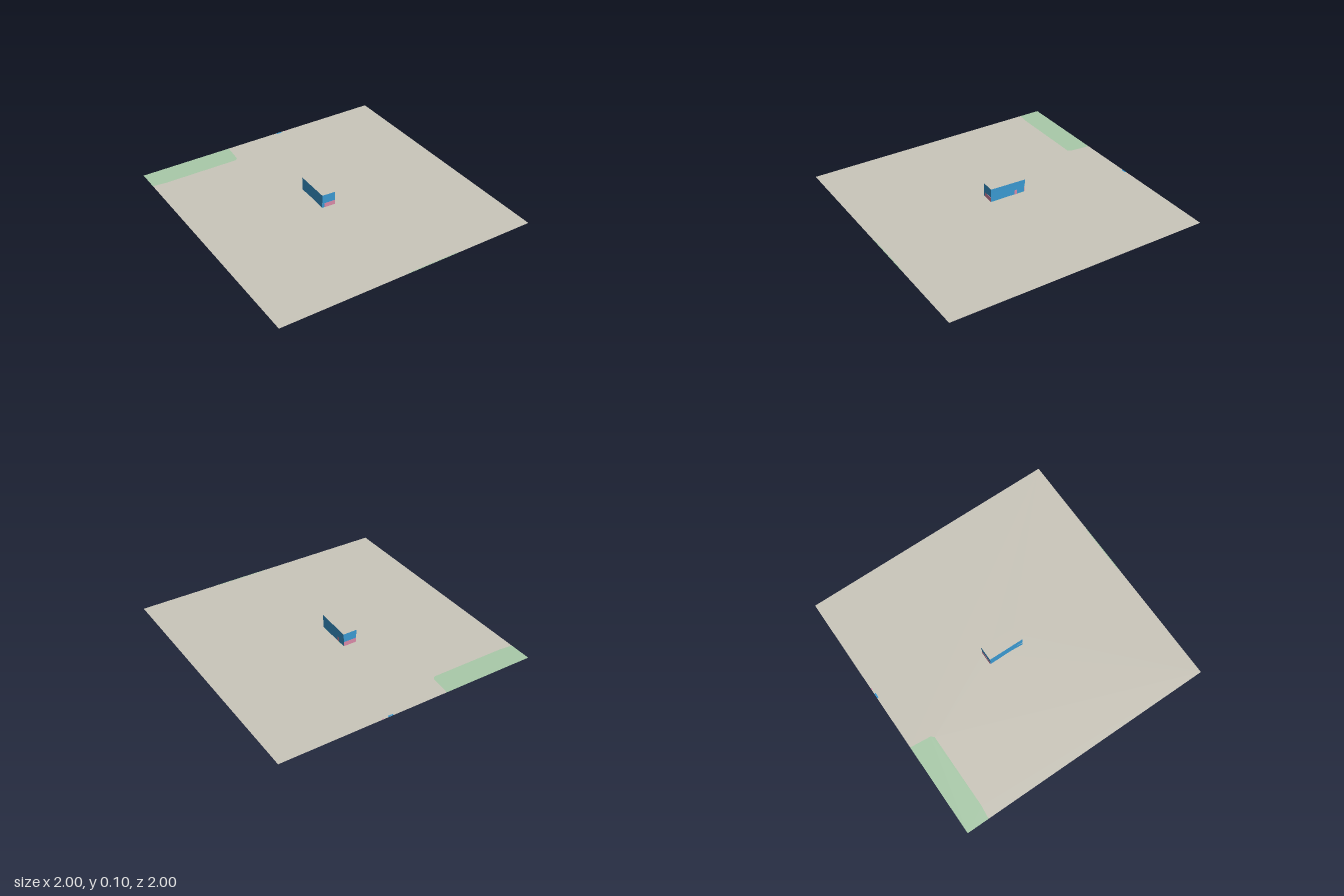
import * as THREE from 'three';

const mat = (name, color, side = THREE.FrontSide) => {
  const m = new THREE.MeshStandardMaterial({ color, side });
  m.name = name;
  return m;
};

// Points are [x, z] on the plan
const planShape = (points) => new THREE.Shape(points.map(([x, z]) => new THREE.Vector2(x, -z)));
const rect = (x0, z0, x1, z1) => [[x0, z0], [x1, z0], [x1, z1], [x0, z1]];

export function createModel() {
  const model = new THREE.Group();
  const stone = mat('stone', 0xcac6ba, THREE.DoubleSide);
  const blue = mat('wallBlue', 0x3a99d1, THREE.DoubleSide);
  const pink = mat('entrancePink', 0xd98aa8, THREE.DoubleSide);
  const green = mat('lawnGreen', 0xa9caa9, THREE.DoubleSide);

  const add = (name, geometry, material, parent = model) => {
    const mesh = new THREE.Mesh(geometry, material);
    mesh.name = name;
    parent.add(mesh);
    return mesh;
  };
  const flat = (name, shape, material, y = 0) =>
    add(name, new THREE.ShapeGeometry(shape).rotateX(-Math.PI / 2).translate(0, y, 0), material);

  // Ground sheet, cut out where lawns lie flush with it
  const lawnEdge = [[-1, -0.83], [-0.9, -0.82], [-0.32, -0.82], [-0.3, -0.84], [-0.285, -1]];
  const underLawns = [rect(-0.08, -0.015, 0, 0.065), rect(-0.055, -0.19, 0.005, -0.125)];
  const ground = planShape([...lawnEdge, [1, -1], [1, 1], [-1, 1]]);
  for (const p of underLawns) ground.holes.push(planShape(p));
  flat('ground', ground, stone);
  flat('cornerLawn', planShape([[-1, -1], ...lawnEdge]), green);
  underLawns.forEach((p, i) => flat('courtLawn' + (i + 1), planShape(p), green));

  // Slivers of neighbouring plots at the borders
  flat('frontLawnStrip', planShape([[-0.05, 1], [0.0, 0.994], [0.35, 0.994], [0.4, 1]]), green, 0.001);
  flat('neighbourWallStrip', planShape(rect(0.145, -1, 0.185, -0.988)), blue, 0.001);
  flat('neighbourEntranceStrip', planShape(rect(0.22, -1, 0.23, -0.992)), pink, 0.001);

  // Building storeys: stone caps, blue walls
  const building = new THREE.Group();
  building.name = 'building';
  model.add(building);
  const storey = (name, points, y0, y1) => {
    const geo = new THREE.ExtrudeGeometry(planShape(points), { depth: y1 - y0, bevelEnabled: false });
    add(name, geo.rotateX(-Math.PI / 2).translate(0, y0, 0), [stone, blue], building);
  };
  storey('groundFloor', [[-0.1, -0.2], [0.004, -0.2], [-0.002, 0.08], [-0.107, 0.075], [-0.1, -0.03]], 0.001, 0.035);
  storey('middleFloor', [[-0.1, -0.2], [0.004, -0.2], [-0.002, 0.08], [-0.104, 0.075]], 0.035, 0.07);
  storey('topFloor', [[-0.1, -0.203], [0.01, -0.203], [-0.002, 0.081], [-0.104, 0.075]], 0.07, 0.104);

  // Pink entrance panels on the ground floor walls
  const panel = (name, a, b) => {
    const [dx, dz] = [b[0] - a[0], b[1] - a[1]];
    const mesh = add(name, new THREE.BoxGeometry(Math.hypot(dx, dz), 0.034, 0.003), pink, building);
    mesh.position.set((a[0] + b[0]) / 2, 0.018, (a[1] + b[1]) / 2);
    mesh.rotation.y = Math.atan2(-dz, dx);
  };
  panel('frontEntrance', [-0.088, 0.076], [-0.003, 0.08]);
  panel('backEntrance', [-0.098, -0.2], [0.003, -0.2]);
  panel('sideDoor', [0.003, -0.137], [0.002, -0.115]);
  return model;
}
